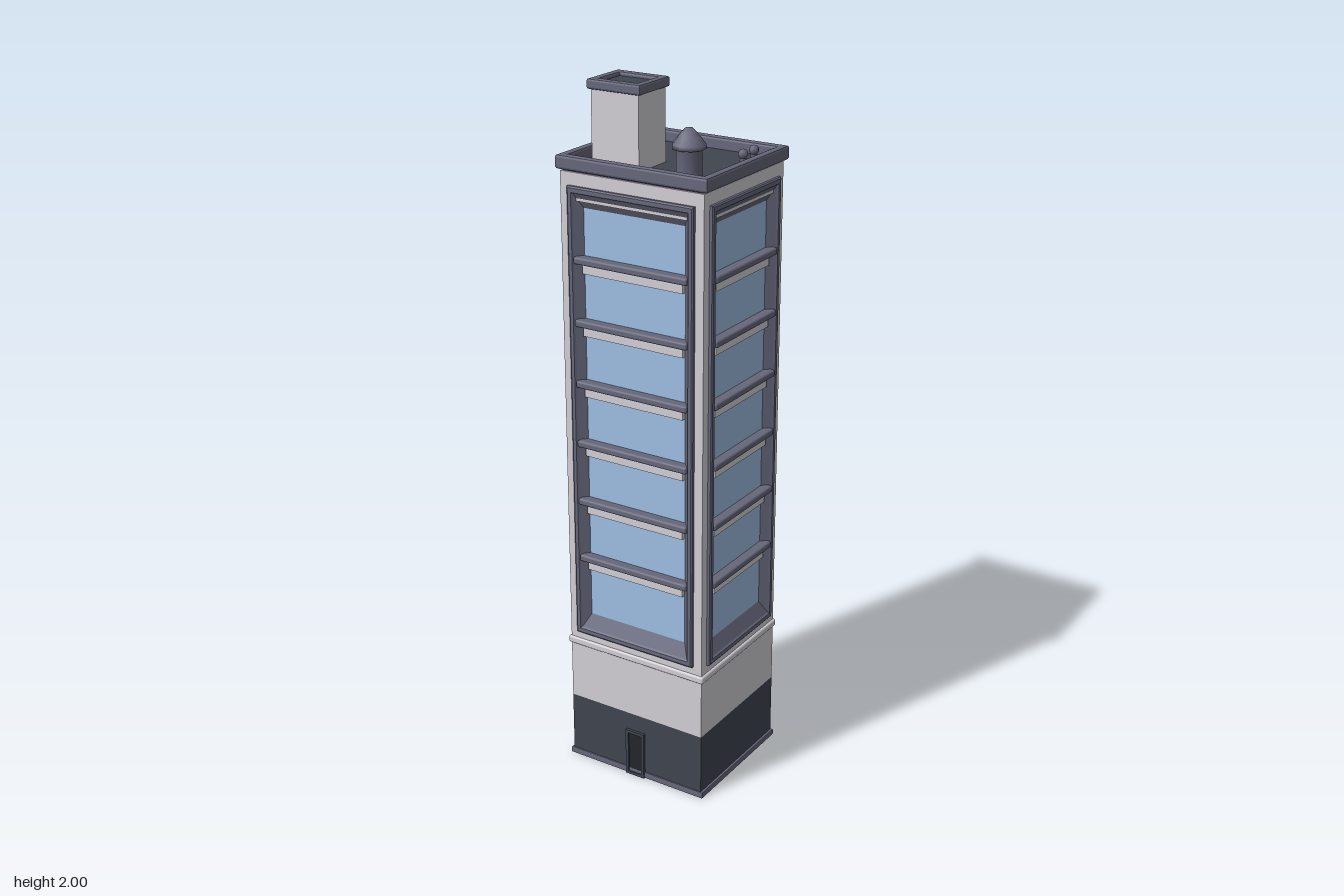
import * as THREE from 'three';
import { RoundedBoxGeometry } from 'three/addons/geometries/RoundedBoxGeometry.js';

const mat = (name, color) => {
  const m = new THREE.MeshStandardMaterial({ color });
  m.name = name;
  return m;
};

export function createModel() {
  const light = mat('pale wall', 0xd3d0d6);
  const dark = mat('dark slate', 0x40454f);
  const trim = mat('slate trim', 0x66677b);
  const glass = mat('window glass', 0x9fbfe4);
  const black = mat('dark door', 0x24262d);
  const green = mat('green awning', 0x3fa57d);
  const amber = mat('amber sign', 0xdb9f38);

  const model = new THREE.Group();
  model.name = 'tower';
  const HW = 0.22, HD = 0.198, CZ = 0.018;   // half width, half depth, centre z

  const add = (parent, name, geo, material, x = 0, y = 0, z = 0) => {
    const m = new THREE.Mesh(geo, material);
    m.name = name;
    m.position.set(x, y, z);
    parent.add(m);
    return m;
  };
  const box = (parent, name, material, w, h, d, x, y, z) =>
    add(parent, name, new THREE.BoxGeometry(w, h, d), material, x, y, z);
  const rounded = (parent, name, material, w, h, d, r, x, y, z) =>
    add(parent, name, new RoundedBoxGeometry(w, h, d, 2, r), material, x, y, z);

  // Rectangular ring lying flat, from y0 to y1, with bevelled edges
  const ring = (parent, name, material, hw, hd, t, y0, y1, x, z, bevel = 0.005) => {
    const rect = (P, a, b) => new P([[-a, -b], [a, -b], [a, b], [-a, b]].map(p => new THREE.Vector2(...p)));
    const s = rect(THREE.Shape, hw - bevel, hd - bevel);
    s.holes.push(rect(THREE.Path, hw - t + bevel, hd - t + bevel));
    const g = new THREE.ExtrudeGeometry(s, {
      depth: y1 - y0 - 2 * bevel, bevelEnabled: true, bevelSize: bevel, bevelThickness: bevel, bevelSegments: 2,
    });
    g.rotateX(-Math.PI / 2);
    return add(parent, name, g, material, x, y0 + bevel, z);
  };

  // Upright frame swept through rectangular loops [halfWidth, halfHeight, z]
  const frameGeo = loops => {
    const v = [];
    const corner = ([w, h, z], k) => [[-w, -h, z], [w, -h, z], [w, h, z], [-w, h, z]][k % 4];
    for (let i = 0; i < loops.length - 1; i++)
      for (let k = 0; k < 4; k++) {
        const a = corner(loops[i], k), b = corner(loops[i], k + 1);
        const c = corner(loops[i + 1], k + 1), d = corner(loops[i + 1], k);
        v.push(...a, ...b, ...c, ...a, ...c, ...d);
      }
    const g = new THREE.BufferGeometry();
    g.setAttribute('position', new THREE.Float32BufferAttribute(v, 3));
    g.computeVertexNormals();
    return g;
  };

  // Ground storey, pale band and ledges
  box(model, 'groundStorey', dark, HW * 2, 0.2, HD * 2, 0, 0.1, CZ);
  ring(model, 'plinth', trim, HW + 0.007, HD + 0.004, 0.03, 0.001, 0.02, 0, CZ, 0.003);
  box(model, 'paleBand', light, HW * 2, 0.19, HD * 2, 0, 0.295, CZ);
  rounded(model, 'ledge', light, HW * 2 + 0.014, 0.022, HD * 2 + 0.012, 0.006, 0, 0.385, CZ);

  // Shell around the window fields
  const FY0 = 0.42, FY1 = 1.73;
  box(model, 'lowerBand', light, HW * 2, 0.05, HD * 2, 0, 0.415, CZ);
  box(model, 'upperBand', light, HW * 2, 0.075, HD * 2, 0, 1.7275, CZ);
  for (const sx of [-1, 1]) for (const sz of [-1, 1])
    box(model, 'cornerPillar', light, 0.034, 1.32, 0.034,
      sx * (HW - 0.017), 1.075, CZ + sz * (HD - 0.017));

  // Four sides: frame, glass, floor bands and sills
  const sides = [];
  for (let i = 0; i < 4; i++) {
    const across = i % 2 === 0;
    const half = across ? HW : HD, dist = across ? HD : HW;
    const side = new THREE.Group();
    side.name = ['front', 'leftSide', 'back', 'rightSide'][i] + 'Facade';
    side.position.z = CZ;
    side.rotation.y = i * Math.PI / 2;
    model.add(side);
    sides.push(side);

    const fw = half - 0.026, fh = (FY1 - FY0) / 2, midY = (FY0 + FY1) / 2;
    const gw = fw - 0.038, gh = fh - 0.06;
    add(side, 'windowFrame', frameGeo([
      [fw, fh, -0.004], [fw, fh, 0.008], [fw - 0.004, fh - 0.004, 0.011],
      [fw - 0.014, fh - 0.016, 0.011], [fw - 0.018, fh - 0.02, 0.006], [gw, gh, -0.014],
    ]), trim, 0, midY, dist);
    add(side, 'windowGlass', new THREE.PlaneGeometry(gw * 2 + 0.01, gh * 2 + 0.01), glass, 0, midY, dist - 0.0135);
    for (let k = 0; k < 6; k++) {
      const y = 0.662 + k * 0.174;
      box(side, 'floorBand', light, gw * 2, 0.03, 0.014, 0, y - 0.022, dist - 0.008);
      rounded(side, 'sill', trim, (half - 0.044) * 2, 0.02, 0.034, 0.006, 0, y, dist - 0.003);
    }
  }

  // Roof and parapet
  box(model, 'roof', dark, HW * 2 - 0.01, 0.02, HD * 2 - 0.01, 0, 1.765, CZ);
  ring(model, 'parapet', trim, 0.231, 0.205, 0.025, 1.768, 1.807, 0, 0.0165, 0.007);

  // Stair house with a hollow cap and a door
  const hx = -0.087, hz = 0.093;
  box(model, 'stairHouse', light, 0.146, 0.22, 0.126, hx, 1.875, hz);
  box(model, 'stairHouseRoof', dark, 0.14, 0.004, 0.12, hx, 1.987, hz);
  ring(model, 'stairHouseCap', trim, 0.081, 0.07, 0.023, 1.972, 2, hx, hz, 0.006);
  const stairDoor = new THREE.Group();
  stairDoor.name = 'stairDoor';
  stairDoor.position.set(hx, 1.835, hz - 0.063);
  stairDoor.rotation.y = Math.PI;
  model.add(stairDoor);
  add(stairDoor, 'stairDoorFrame', frameGeo([
    [0.034, 0.062, 0], [0.034, 0.062, 0.007], [0.026, 0.054, 0.007], [0.026, 0.054, 0.001]]), trim);
  box(stairDoor, 'stairDoorLeaf', black, 0.054, 0.11, 0.004, 0, 0, 0);

  // Roof vent with a conical hood, and two pipes
  const ventProfile = [[0.034, 1.77], [0.034, 1.848], [0.045, 1.846], [0.044, 1.858], [0.024, 1.884], [0.01, 1.898], [0, 1.9]];
  const ventGeo = new THREE.LatheGeometry(ventProfile.map(p => new THREE.Vector2(...p)), 9);
  add(model, 'vent', ventGeo, trim, 0.111, 0, 0.115);
  for (const [x, z] of [[0.167, -0.115], [0.165, -0.063]]) {
    add(model, 'pipe', new THREE.CylinderGeometry(0.009, 0.009, 0.03, 8), trim, x, 1.787, z);
    add(model, 'pipeHead', new THREE.SphereGeometry(0.014, 8, 5), trim, x, 1.801, z);
  }

  // Small service door on the front
  const front = sides[0], back = sides[2];
  add(front, 'serviceDoorFrame', frameGeo([
    [0.031, 0.073, 0], [0.031, 0.073, 0.008], [0.022, 0.064, 0.008], [0.022, 0.064, 0]]), dark, 0, 0.074, HD);
  box(front, 'serviceDoor', black, 0.046, 0.132, 0.006, 0, 0.07, HD);

  // Shop windows and entrance on the back
  const opening = (name, x, y, hw, hh) => {
    add(back, name + 'Frame', frameGeo([
      [hw, hh, 0], [hw, hh, 0.01], [hw - 0.01, hh - 0.01, 0.01], [hw - 0.012, hh - 0.012, 0.001]]), trim, x, y, HD);
    box(back, name + 'Glass', glass, hw * 2 - 0.02, hh * 2 - 0.02, 0.004, x, y, HD);
  };
  for (const s of [-1, 1]) {
    opening('shopWindow', s * 0.148, 0.085, 0.045, 0.075);
    box(back, 'shopWindowStripe', amber, 0.066, 0.022, 0.006, s * 0.148, 0.033, HD + 0.001);
    add(back, 'awningPost', new THREE.CylinderGeometry(0.005, 0.005, 0.175, 8), trim, s * 0.062, 0.0875, 0.23);
  }
  opening('entrance', 0, 0.085, 0.054, 0.084);
  box(back, 'entranceMullion', trim, 0.008, 0.15, 0.008, 0, 0.08, HD + 0.003);

  // Awning and blank sign board
  rounded(back, 'awning', green, 0.148, 0.014, 0.058, 0.006, 0, 0.183, 0.222).rotation.x = 0.5;
  rounded(back, 'signBacking', trim, 0.15, 0.052, 0.012, 0.005, 0, 0.237, HD + 0.005);
  rounded(back, 'signBoard', amber, 0.142, 0.044, 0.014, 0.006, 0, 0.237, HD + 0.013);

  return model;
}
